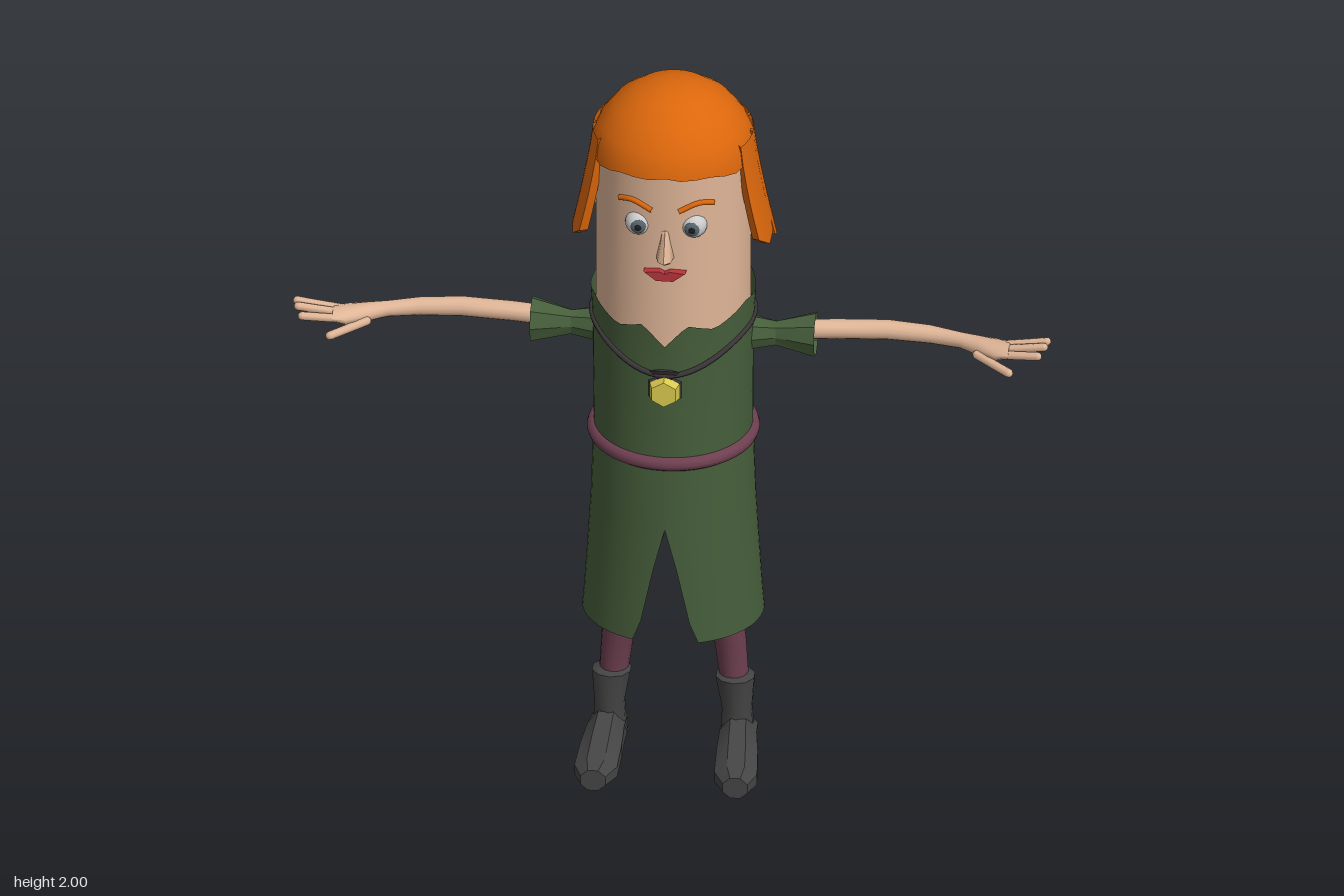
import * as THREE from 'three';
import { toCreasedNormals } from 'three/addons/utils/BufferGeometryUtils.js';

const CZ = 0.016; // depth of the body axis
const mat = (color) => new THREE.MeshStandardMaterial({ color, side: THREE.DoubleSide, roughness: 0.9 });
const M = {
  skin: mat(0xdfb597), hair: mat(0xdc670c), green: mat(0x465e3b), plum: mat(0x6e3f50), boot: mat(0x444444),
  lips: mat(0xb5343a), gold: mat(0xd9c84e), cord: mat(0x3b3538), white: mat(0xd5d5d5), iris: mat(0x56636b), pupil: mat(0x1c1c1c),
};

// Grid surface: fn(u, v) gives a point, u runs anticlockwise seen from above, v upward
function surface(nu, nv, fn, crease = 0.8) {
  const pos = [], idx = [];
  for (let j = 0; j <= nv; j++) for (let i = 0; i <= nu; i++) pos.push(...fn(i / nu, j));
  for (let j = 0; j < nv; j++) for (let i = 0; i < nu; i++) {
    const a = j * (nu + 1) + i, d = a + nu + 1;
    idx.push(a, a + 1, d + 1, a, d + 1, d);
  }
  const g = new THREE.BufferGeometry();
  g.setAttribute('position', new THREE.Float32BufferAttribute(pos, 3));
  g.setIndex(idx);
  return toCreasedNormals(g, crease);
}

// Closed loft of ellipses along an axis; section = [along, centreU, centreV, radiusU, radiusV]
function loft(axis, sections, n = 16, crease = 0.8, turn = 0) {
  const end = (s) => [s[0], s[1], s[2], 0, 0];
  const rows = [end(sections[0]), ...sections, end(sections[sections.length - 1])];
  return surface(n, rows.length - 1, (u, j) => {
    const [s, cu, cv, ru, rv] = rows[j], t = u * Math.PI * 2 + turn;
    const a = cu + Math.sin(t) * ru, b = cv + Math.cos(t) * rv;
    return axis === 'y' ? [a, s, b] : axis === 'x' ? [s, b, a] : [b, a, s];
  }, crease);
}

// Piecewise linear lookup in [x, y] pairs
function lerp(table, x) {
  for (let i = 1; i < table.length; i++) {
    const [x0, y0] = table[i - 1], [x1, y1] = table[i];
    if (x <= x1) return y0 + (y1 - y0) * (x - x0) / (x1 - x0);
  }
  return table[table.length - 1][1];
}

const around = (t, y, rx, rz = rx) => [Math.sin(t) * rx, y, CZ + Math.cos(t) * rz];

function mirrored(geo) {
  const g = geo.index ? geo.toNonIndexed() : geo.clone();
  g.scale(-1, 1, 1);
  for (const a of Object.values(g.attributes)) {
    const k = a.itemSize, arr = a.array;
    for (let i = 0; i < a.count; i += 3) for (let c = 0; c < k; c++) {
      const p = (i + 1) * k + c, q = (i + 2) * k + c;
      [arr[p], arr[q]] = [arr[q], arr[p]];
    }
  }
  return g;
}

// Rounded rod between two points
function rod(a, b, r) {
  const A = new THREE.Vector3(...a), B = new THREE.Vector3(...b), d = B.clone().sub(A);
  const g = new THREE.CapsuleGeometry(r, d.length(), 3, 8);
  g.applyQuaternion(new THREE.Quaternion().setFromUnitVectors(new THREE.Vector3(0, 1, 0), d.normalize()));
  const c = A.add(B).multiplyScalar(0.5);
  return g.translate(c.x, c.y, c.z);
}

// Lock of hair between two angles, double layered, with a ragged lower edge
function hairLock(t0, t1, bottoms, n, taper) {
  const steps = 5, mid = (t0 + t1) / 2;
  const edge = bottoms.map((y, i) => [i / (bottoms.length - 1), y]);
  return surface(n, steps * 2 + 1, (u, j) => {
    const inner = j <= steps, k = (inner ? j : steps * 2 + 1 - j) / steps;
    const y = 1.87 + (lerp(edge, u) - 1.87) * k;
    const fall = (1.87 - y) / 0.32;
    const t = mid + (t0 + (t1 - t0) * u - mid) * (1 - taper * k * k);
    const thick = 0.03 * Math.min(1, 6 * u, 6 * (1 - u));
    return around(t, y, 0.207 + 0.058 * Math.pow(fall, 1.2) - (inner ? thick : 0));
  }, 0.6);
}

export function createModel() {
  const root = new THREE.Group();
  const add = (name, geo, m) => {
    const mesh = new THREE.Mesh(geo, m);
    mesh.name = name;
    root.add(mesh);
    return mesh;
  };
  const pair = (name, geo, m) => {
    add('left' + name, geo, m);
    add('right' + name, mirrored(geo), m);
  };

  // Head
  add('head', loft('y', [[1.2, 0, CZ, 0.2, 0.2], [1.84, 0, CZ, 0.2, 0.2]], 40), M.skin);
  add('nose', loft('y', [[1.578, 0, 0.205, 0.018, 0.03], [1.592, 0, 0.21, 0.024, 0.047],
    [1.635, 0, 0.21, 0.015, 0.025], [1.67, 0, 0.208, 0.01, 0.01]], 8), M.skin);
  const lipShape = new THREE.Shape();
  [[-0.052, 1.552], [-0.014, 1.556], [0, 1.549], [0.014, 1.556], [0.052, 1.552], [0.022, 1.528], [-0.022, 1.528]]
    .forEach(([x, y], i) => (i ? lipShape.lineTo(x, y) : lipShape.moveTo(x, y)));
  add('lips', new THREE.ExtrudeGeometry(lipShape, { depth: 0.025, bevelEnabled: true, bevelSize: 0.002, bevelThickness: 0.005, bevelSegments: 1 })
    .translate(0, 0, 0.2), M.lips);
  const ball = (r, x, y, z, flat = 1) => new THREE.SphereGeometry(r, 20, 14).scale(1, 1, flat).translate(x, y, z);
  pair('Eye', ball(0.034, 0.072, 1.68, 0.19), M.white);
  pair('Iris', ball(0.02, 0.07, 1.68, 0.216, 0.5), M.iris);
  pair('Pupil', ball(0.009, 0.07, 1.68, 0.224, 0.5), M.pupil);
  const brow = [[0.122, 1.742], [0.085, 1.75], [0.035, 1.73]]
    .map(([x, y]) => new THREE.Vector3(x, y, CZ + Math.sqrt(0.041 - x * x)));
  pair('Eyebrow', new THREE.TubeGeometry(new THREE.CatmullRomCurve3(brow), 10, 0.008, 6), M.hair);

  // Hair: cap with fringe, side locks, back curtain
  const fringe = [[0, 1.832], [0.25, 1.822], [0.55, 1.826], [0.95, 1.805], [1.15, 1.81], [Math.PI, 1.8]];
  const cap = [[0.19, 0], [0.211, 0], [0.207, 1.85], [0.19, 1.89], [0.152, 1.94], [0.1, 1.977], [0.05, 1.994], [0, 2]];
  add('hairCap', surface(32, cap.length - 1, (u, j) => {
    const t = (u - 0.5) * Math.PI * 2;
    return around(t, cap[j][1] || lerp(fringe, Math.abs(t)), cap[j][0]);
  }), M.hair);
  pair('FrontLock', hairLock(1.1, 1.6, [1.6, 1.565, 1.58], 6, 0.22), M.hair);
  pair('MiddleLock', hairLock(1.52, 2.0, [1.56, 1.535, 1.56], 6, 0.22), M.hair);
  pair('RearLock', hairLock(1.92, 2.42, [1.57, 1.54, 1.565], 6, 0.18), M.hair);
  add('backHair', hairLock(2.3, Math.PI * 2 - 2.3, [1.57, 1.535, 1.56, 1.54, 1.57, 1.54, 1.56, 1.535, 1.57], 24, 0.04), M.hair);

  // Tunic with zigzag collar
  const collar = [[0, 1.33], [0.27, 1.392], [0.62, 1.37], [1.16, 1.408], [1.7, 1.392], [2.15, 1.41], [2.7, 1.372], [Math.PI, 1.38]];
  add('tunic', surface(64, 2, (u, j) => {
    const t = (u - 0.5) * Math.PI * 2;
    return around(t, [0.96, 1.28, lerp(collar, Math.abs(t))][j], [0.205, 0.207, 0.213][j]);
  }), M.green);

  // Skirt half, slit at front and back: [height, half slit, radius in x]
  const skirt = [[0.44, 0.085, 0.235], [0.5, 0.063, 0.23], [0.66, 0.03, 0.22], [0.78, 0, 0.213], [0.98, 0, 0.206]];
  pair('SkirtPanel', surface(24, skirt.length - 1, (u, j) => {
    const [y, slit, rx] = skirt[j], s = Math.asin(slit / rx);
    return around(s + (Math.PI - 2 * s) * u, y, rx, 0.208);
  }), M.green);
  add('belt', new THREE.TorusGeometry(0.203, 0.02, 10, 48).rotateX(Math.PI / 2).translate(0, 0.977, CZ), M.plum);

  // Necklace
  const cordPoints = [];
  for (let i = 0; i < 32; i++) {
    const t = i / 32 * Math.PI * 2;
    cordPoints.push(new THREE.Vector3(...around(t, 1.322 - 0.078 * Math.pow(Math.max(0, Math.cos(t)), 3), 0.211)));
  }
  add('necklaceCord', new THREE.TubeGeometry(new THREE.CatmullRomCurve3(cordPoints, true), 64, 0.007, 6, true), M.cord);
  const hexagon = (r, depth, z) => toCreasedNormals(new THREE.CylinderGeometry(r * 0.8, r, depth, 6), 0.3)
    .rotateX(Math.PI / 2).translate(0, 1.2, z);
  add('pendantRim', hexagon(0.049, 0.02, 0.228), M.cord);
  add('pendant', hexagon(0.045, 0.025, 0.238), M.gold);
  add('pendantHolder', new THREE.CylinderGeometry(0.045, 0.012, 0.035, 3).rotateY(Math.PI / 3)
    .scale(1, 1, 0.2).translate(0, 1.242, 0.227), M.cord);

  // Sleeves, arms and hands
  pair('Sleeve', loft('x', [[0.17, 0, 1.255, 0.06, 0.06], [0.21, 0, 1.255, 0.042, 0.045], [0.265, 0, 1.255, 0.026, 0.036],
    [0.368, 0.003, 1.26, 0.057, 0.062], [0.345, 0.003, 1.26, 0.045, 0.05]], 8, 0.5), M.green);
  pair('Arm', loft('x', [[0.3, -0.01, 1.262, 0.026, 0.026], [0.42, -0.02, 1.266, 0.026, 0.026], [0.55, -0.03, 1.266, 0.026, 0.026],
    [0.66, -0.022, 1.264, 0.024, 0.024], [0.74, -0.004, 1.262, 0.021, 0.021], [0.79, 0.02, 1.264, 0.033, 0.023],
    [0.84, 0.05, 1.272, 0.043, 0.021], [0.875, 0.066, 1.28, 0.034, 0.015]], 14, 1.2), M.skin);
  pair('IndexFinger', rod([0.85, 0.0 + 1.274, 0.08], [0.952, 1.29, 0.104], 0.011), M.skin);
  pair('MiddleFinger', rod([0.86, 1.282, 0.062], [0.965, 1.302, 0.076], 0.011), M.skin);
  pair('LittleFinger', rod([0.85, 1.28, 0.038], [0.97, 1.304, 0.05], 0.011), M.skin);
  pair('Thumb', rod([0.79, 1.256, 0.055], [0.878, 1.244, 0.118], 0.012), M.skin);

  // Legs
  pair('Leg', loft('y', [[0.2, 0.158, 0, 0.037, 0.04], [0.34, 0.145, 0.003, 0.042, 0.044], [0.44, 0.13, 0.02, 0.048, 0.06],
    [0.6, 0.1, 0.02, 0.062, 0.068], [0.72, 0.078, 0.02, 0.078, 0.078], [0.95, 0.075, 0.02, 0.08, 0.08]], 16), M.plum);

  // Boots: flared shaft and wedge foot
  pair('BootShaft', loft('y', [[0.05, 0.165, 0.012, 0.046, 0.043], [0.14, 0.165, 0.012, 0.04, 0.042],
    [0.235, 0.16, 0.012, 0.052, 0.05], [0.24, 0.16, 0.012, 0.045, 0.043]], 10), M.boot);
  pair('BootFoot', loft('z', [[-0.028, 0.05, 0.168, 0.054, 0.05], [0.05, 0.062, 0.171, 0.067, 0.052],
    [0.12, 0.05, 0.176, 0.054, 0.058], [0.2, 0.036, 0.181, 0.039, 0.06], [0.242, 0.03, 0.184, 0.032, 0.035]], 8, 0.5, Math.PI / 8), M.boot);

  return root;
}
